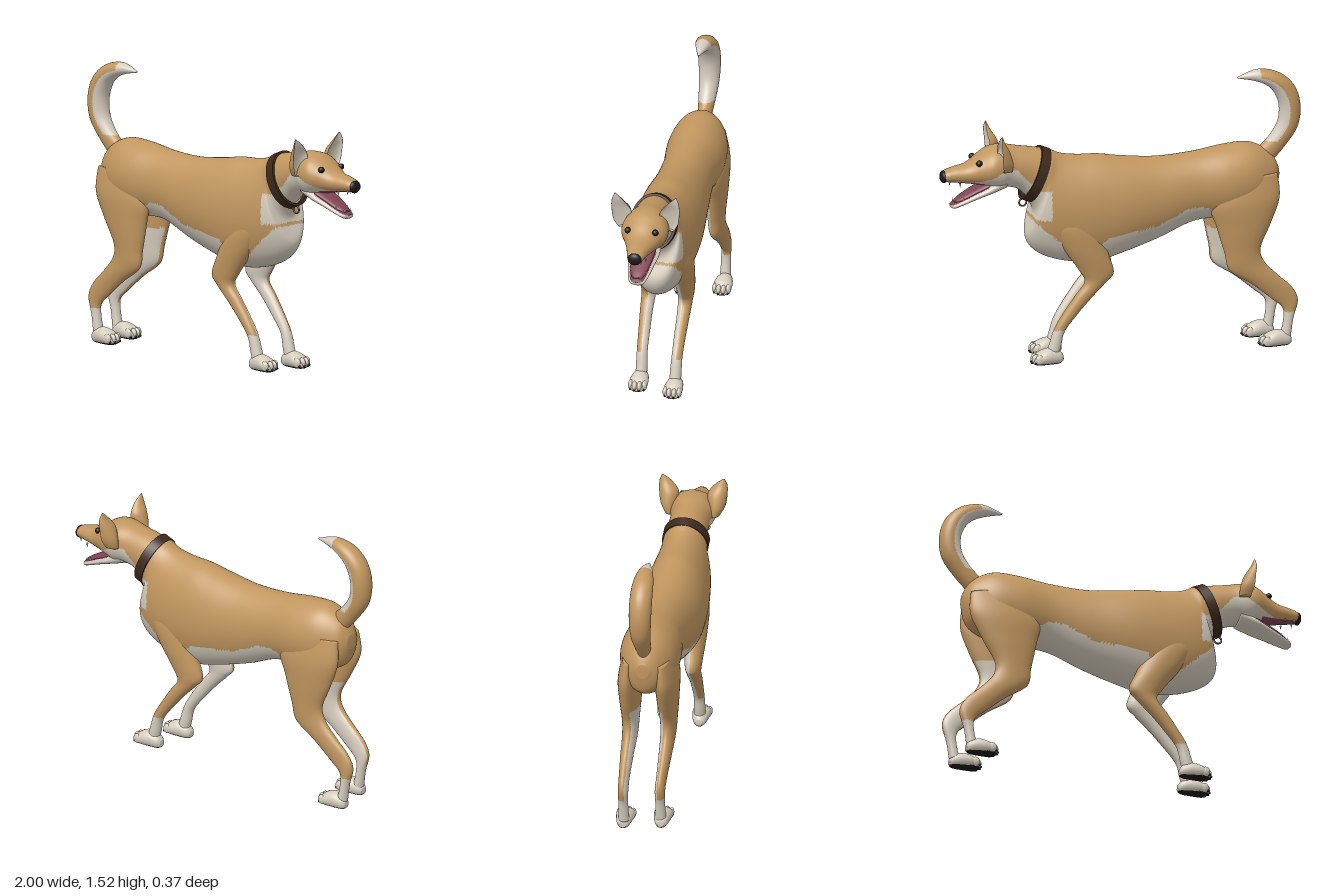
import * as THREE from 'three';
import { toCreasedNormals } from 'three/addons/utils/BufferGeometryUtils.js';

const flat = (name, color) => {
  const m = new THREE.MeshStandardMaterial({ color });
  m.name = name;
  return m;
};
const tan = flat('tan fur', 0xc1965f), cream = flat('cream fur', 0xd5ccbd);
const mouth = flat('mouth pink', 0x7f4453), black = flat('nose and pad black', 0x1b1918);
const leather = flat('collar leather', 0x3c281b), metal = flat('tag ring copper', 0x7a4630);
const FUR = [tan, cream, mouth, black];
const TAN = 0, CREAM = 1, MOUTH = 2, BLACK = 3;

const clamp01 = (v) => Math.min(1, Math.max(0, v));

// Piecewise linear height of a colour border at x
function border(pts, x) {
  if (x <= pts[0][0]) return pts[0][1];
  for (let i = 1; i < pts.length; i++) {
    const [x0, y0] = pts[i - 1], [x1, y1] = pts[i];
    if (x <= x1) return y0 + (y1 - y0) * (x - x0) / (x1 - x0);
  }
  return pts[pts.length - 1][1];
}

// Smooth loft through oval sections [ax, ay, bx, by, z, halfWidth];
// a and b are opposite ends of the oval, paint(x, y, z, c) picks a colour index
function loft(name, sections, paint, { steps = 8, sides = 48, dent = 1 } = {}) {
  const rows = [], n = sections.length;
  for (let i = 0; i < n - 1; i++) {
    const [p0, p1, p2, p3] = [-1, 0, 1, 2].map((k) => sections[Math.min(n - 1, Math.max(0, i + k))]);
    for (let k = 0; k < steps; k++) {
      const t = k / steps;
      rows.push(p1.map((v, c) => v + 0.5 * t * (p2[c] - p0[c]
        + t * (2 * p0[c] - 5 * v + 4 * p2[c] - p3[c] + t * (3 * (v - p2[c]) + p3[c] - p0[c])))));
    }
  }
  rows.push(sections[n - 1]);
  const pos = [], cosines = [];
  const add = (x, y, z, c) => { pos.push(x, y, z); cosines.push(c); };
  for (const [ax, ay, bx, by, z, w] of rows) {
    for (let j = 0; j < sides; j++) {
      const a = j / sides * Math.PI * 2, c = Math.cos(a), h = c < 0 ? c * dent : c;
      add((ax + bx) / 2 + h * (bx - ax) / 2, (ay + by) / 2 + h * (by - ay) / 2, z + Math.sin(a) * w, c);
    }
  }
  const ends = [rows[0], rows[rows.length - 1]].map(([ax, ay, bx, by, z]) => {
    add((ax + bx) / 2, (ay + by) / 2, z, 0);
    return cosines.length - 1;
  });
  const lists = FUR.map(() => []);
  const tri = (...ids) => {
    const mid = (k) => ids.reduce((s, i) => s + pos[i * 3 + k], 0) / 3;
    const c = ids.reduce((s, i) => s + cosines[i], 0) / 3;
    lists[paint(mid(0), mid(1), mid(2), c)].push(...ids);
  };
  const last = (rows.length - 1) * sides;
  for (let j = 0; j < sides; j++) {
    const k = (j + 1) % sides;
    for (let r = 0; r < last; r += sides) {
      tri(r + j, r + k, r + sides + j);
      tri(r + k, r + sides + k, r + sides + j);
    }
    tri(ends[0], k, j);
    tri(ends[1], last + j, last + k);
  }
  const geo = new THREE.BufferGeometry();
  geo.setAttribute('position', new THREE.Float32BufferAttribute(pos, 3));
  geo.setIndex(lists.flat());
  let start = 0;
  lists.forEach((l, i) => { if (l.length) geo.addGroup(start, l.length, i); start += l.length; });
  geo.computeVertexNormals();
  const mesh = new THREE.Mesh(geo, FUR);
  mesh.name = name;
  return mesh;
}

function ball(name, mat, [x, y, z], [rx, ry, rz]) {
  const m = new THREE.Mesh(new THREE.SphereGeometry(1, 20, 14), mat);
  m.name = name;
  m.position.set(x, y, z);
  m.scale.set(rx, ry, rz);
  return m;
}
const centred = (list) => list.map(([ax, ay, bx, by, w]) => [ax, ay, bx, by, 0, w]);

export function createModel() {
  const dog = new THREE.Group();
  dog.name = 'dog';

  // Torso from rump to collar, with a cream belly and chest
  const belly = [[-0.49, 0.79], [-0.42, 0.82], [-0.34, 0.81], [-0.18, 0.735], [0.11, 0.69], [0.2, 0.6]];
  dog.add(loft('torso', centred([
    [-0.875, 0.90, -0.875, 0.98, 0.035], [-0.84, 0.80, -0.83, 1.06, 0.09], [-0.72, 0.74, -0.72, 1.118, 0.145],
    [-0.58, 0.72, -0.58, 1.115, 0.16], [-0.4, 0.71, -0.4, 1.09, 0.143], [-0.2, 0.63, -0.2, 1.08, 0.155],
    [0, 0.565, 0, 1.10, 0.175], [0.15, 0.53, 0.12, 1.12, 0.175], [0.33, 0.55, 0.22, 1.125, 0.165],
    [0.47, 0.61, 0.3, 1.135, 0.15], [0.525, 0.70, 0.35, 1.15, 0.135], [0.485, 0.83, 0.39, 1.17, 0.122],
    [0.52, 0.91, 0.43, 1.18, 0.115],
  ]), (x, y) => {
    if (x > -0.49 && x < 0.2 && y < border(belly, x)) return CREAM;
    if (x >= 0.16 && y < 0.5 + 0.88 * (x - 0.16)) return CREAM;
    return x > 0.415 && y > 0.81 && y < 0.97 ? CREAM : TAN;
  }, { steps: 12, sides: 80 }));

  // Neck, skull and muzzle
  const cheek = [[0.45, 0.98], [0.53, 1.02], [0.6, 1.1], [0.67, 1.1], [0.72, 1.07], [0.78, 1.045], [0.85, 1.028], [1, 1.0]];
  dog.add(loft('head', centred([
    [0.505, 0.905, 0.415, 1.175, 0.112], [0.57, 0.965, 0.49, 1.19, 0.106], [0.64, 0.985, 0.58, 1.205, 0.108],
    [0.70, 0.98, 0.65, 1.218, 0.122], [0.75, 1.0, 0.72, 1.212, 0.124], [0.80, 1.01, 0.78, 1.18, 0.1],
    [0.86, 1.02, 0.85, 1.132, 0.072], [0.93, 1.03, 0.92, 1.115, 0.054], [0.975, 1.037, 0.97, 1.1, 0.042],
    [0.99, 1.055, 0.99, 1.085, 0.018],
  ]), (x, y, z, c) => {
    if (x > 0.77 && c < -0.8) return MOUTH;
    return y < border(cheek, x) ? CREAM : TAN;
  }, { steps: 10, sides: 80 }));

  // Open lower jaw and tongue
  dog.add(loft('lowerJaw', centred([
    [0.64, 0.98, 0.66, 1.07, 0.08], [0.72, 0.957, 0.75, 1.012, 0.085], [0.80, 0.93, 0.82, 0.975, 0.072],
    [0.88, 0.9, 0.89, 0.937, 0.056], [0.925, 0.884, 0.93, 0.917, 0.04], [0.942, 0.893, 0.943, 0.908, 0.016],
  ]), (x, y, z, c) => (c > 0.55 && x > 0.74 ? MOUTH : CREAM)));
  dog.add(loft('tongue', centred([
    [0.73, 0.98, 0.74, 1.03, 0.065], [0.81, 0.955, 0.82, 0.99, 0.056], [0.88, 0.92, 0.89, 0.952, 0.042],
    [0.92, 0.91, 0.925, 0.928, 0.02],
  ]), () => MOUTH));

  dog.add(ball('nose', black, [0.98, 1.063, 0], [0.02, 0.034, 0.038]));

  for (const s of [1, -1]) {
    const side = s > 0 ? 'left' : 'right';
    // With the head along +x, these sides refer to the z halves
    dog.add(ball(side + 'Eye', black, [0.802, 1.142, s * 0.075], [0.017, 0.017, 0.017]));
    for (const [x, y, z, up] of [[0.955, 1.03, 0.03, 0], [0.9, 1.02, 0.045, 0], [0.92, 0.922, 0.029, 1], [0.88, 0.94, 0.041, 1]]) {
      const tooth = new THREE.Mesh(new THREE.ConeGeometry(0.006, 0.025, 8), cream);
      tooth.name = 'tooth';
      tooth.position.set(x, y, s * z);
      if (!up) tooth.rotation.z = Math.PI;
      dog.add(tooth);
    }

    // Cupped ear, cream inside
    dog.add(loft(side + 'Ear', [
      [0.74, 1.10, 0.63, 1.10, s * 0.12, 0.03], [0.765, 1.15, 0.63, 1.15, s * 0.13, 0.046],
      [0.755, 1.21, 0.65, 1.215, s * 0.132, 0.053], [0.735, 1.265, 0.68, 1.265, s * 0.15, 0.034],
      [0.703, 1.305, 0.697, 1.305, s * 0.166, 0.004],
    ], (x, y, z, c) => (c < -0.05 ? CREAM : TAN), { dent: -0.45 }));

    // Legs: the right pair stands slightly apart from the left pair
    const shifted = (list, d) => list.map(([ax, ay, bx, by, z, w]) => {
      const k = s > 0 ? 0 : d * clamp01((0.85 - ay) / 0.4);
      return [ax + k, ay, bx + k, by, s * z, w];
    });
    dog.add(loft(side + 'FrontLeg', shifted([
      [0.12, 0.84, 0.32, 0.9, 0.09, 0.04], [0.11, 0.72, 0.39, 0.79, 0.1, 0.062], [0.06, 0.59, 0.33, 0.67, 0.105, 0.058],
      [0.02, 0.49, 0.21, 0.51, 0.105, 0.046], [0.06, 0.435, 0.175, 0.445, 0.105, 0.039], [0.14, 0.355, 0.225, 0.375, 0.105, 0.034],
      [0.22, 0.265, 0.285, 0.29, 0.102, 0.031], [0.285, 0.18, 0.34, 0.2, 0.1, 0.029], [0.305, 0.1, 0.37, 0.11, 0.098, 0.031],
      [0.32, 0.04, 0.39, 0.045, 0.098, 0.03],
    ], 0.05), (x, y, z) => (y < 0.19 || (s * z < 0.1 && y < 0.72) ? CREAM : TAN)));
    dog.add(loft(side + 'HindLeg', shifted([
      [-0.85, 0.96, -0.54, 0.98, 0.09, 0.04], [-0.855, 0.83, -0.47, 0.82, 0.1, 0.06], [-0.79, 0.69, -0.49, 0.69, 0.1, 0.057],
      [-0.72, 0.56, -0.52, 0.54, 0.1, 0.046], [-0.73, 0.48, -0.54, 0.44, 0.1, 0.04], [-0.80, 0.4, -0.66, 0.355, 0.1, 0.034],
      [-0.88, 0.325, -0.77, 0.265, 0.098, 0.028], [-0.915, 0.25, -0.83, 0.21, 0.096, 0.027],
      [-0.89, 0.15, -0.835, 0.14, 0.096, 0.026], [-0.875, 0.05, -0.815, 0.05, 0.096, 0.03],
    ], -0.045), (x, y, z) => (y < 0.19 || (s * z < 0.085 && y < 0.64) ? CREAM : TAN)));

    // Paws with dark pads, toes and claws
    for (const [pawName, px] of [['FrontPaw', s > 0 ? 0.3 : 0.345], ['HindPaw', s > 0 ? -0.88 : -0.92]]) {
      const paw = new THREE.Group();
      paw.name = side + pawName;
      paw.position.set(px, 0, s * 0.099);
      paw.add(loft('foot', centred([
        [0.0, 0.015, 0.0, 0.05, 0.018], [0.02, 0.003, 0.02, 0.075, 0.034], [0.07, 0, 0.07, 0.092, 0.046],
        [0.12, 0, 0.12, 0.08, 0.051], [0.155, 0.005, 0.155, 0.055, 0.042], [0.168, 0.015, 0.168, 0.035, 0.02],
      ]), (x, y) => (y < 0.014 ? BLACK : CREAM), { steps: 6, sides: 40 }));
      for (const [tx, tz] of [[0.138, -0.037], [0.152, -0.013], [0.152, 0.013], [0.138, 0.037]]) {
        paw.add(ball('toe', cream, [tx, 0.038, tz], [0.024, 0.027, 0.0145]));
        paw.add(ball('claw', black, [tx + 0.02, 0.021, tz], [0.008, 0.007, 0.005]));
      }
      dog.add(paw);
    }
  }

  // Curled tail, cream on the inside and at the tip
  dog.add(loft('tail', centred([
    [-0.75, 1.07, -0.83, 0.99, 0.035], [-0.825, 1.14, -0.915, 1.085, 0.045], [-0.875, 1.22, -0.985, 1.19, 0.055],
    [-0.883, 1.31, -1.0, 1.31, 0.06], [-0.855, 1.385, -0.965, 1.42, 0.06], [-0.81, 1.43, -0.88, 1.495, 0.055],
    [-0.745, 1.458, -0.765, 1.52, 0.037], [-0.655, 1.477, -0.652, 1.485, 0.005],
  ]), (x, y, z, c) => ((x > -0.775 && y > 1.4) || (c < -0.2 && y > 1.12) ? CREAM : TAN), { steps: 10 }));

  // Collar band and hanging ring
  const profile = [[0.9, -0.027], [1, -0.027], [1, 0.027], [0.9, 0.027], [0.9, -0.027]];
  const band = new THREE.LatheGeometry(profile.map(([r, h]) => new THREE.Vector2(r, h)), 64);
  const collar = new THREE.Mesh(toCreasedNormals(band, 0.6), leather);
  collar.name = 'collar';
  collar.scale.set(0.154, 1, 0.125);
  collar.rotation.z = -1.18;
  collar.position.set(0.473, 1.04, 0);
  dog.add(collar);
  const ring = new THREE.Mesh(new THREE.TorusGeometry(0.02, 0.005, 10, 28), metal);
  ring.name = 'tagRing';
  ring.position.set(0.54, 0.885, 0);
  dog.add(ring);

  return dog;
}
